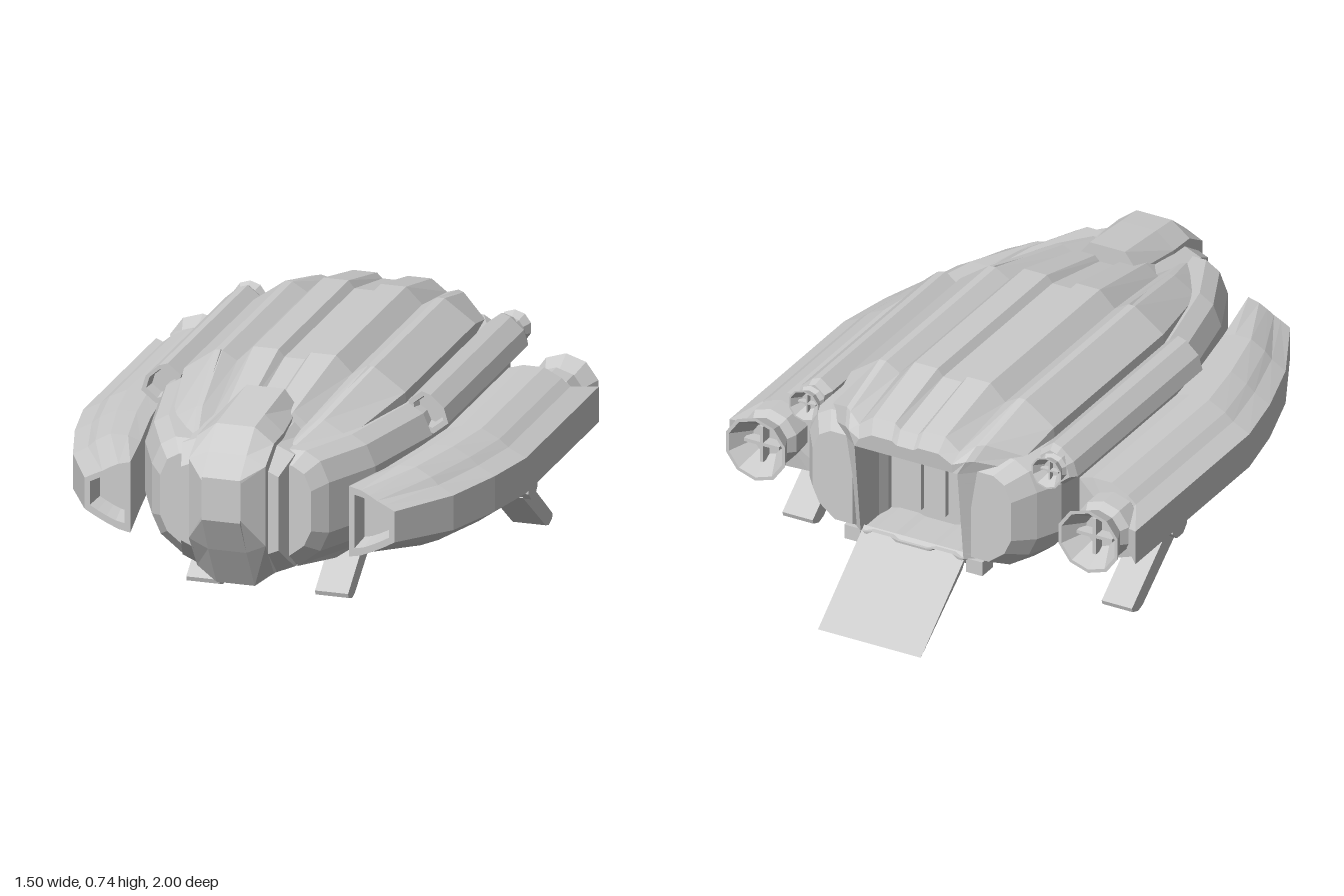
import * as THREE from 'three';

const grey = new THREE.MeshStandardMaterial({ color: 0xcccccc, flatShading: true });

// Skin over rings of [x, y, z], ordered from back to front, each counterclockwise seen from +z
function loft(rings) {
  const pos = [], n = rings[0].length;
  const tri = (a, b, c) => pos.push(...a, ...b, ...c);
  for (let i = 0; i < rings.length - 1; i++) {
    for (let j = 0; j < n; j++) {
      const k = (j + 1) % n, r = rings[i], s = rings[i + 1];
      tri(r[j], r[k], s[k]);
      tri(r[j], s[k], s[j]);
    }
  }
  const cap = (ring, front) => {
    const mid = [0, 1, 2].map(a => ring.reduce((t, p) => t + p[a], 0) / n);
    ring.forEach((p, j) => {
      const q = ring[(j + 1) % n];
      front ? tri(mid, p, q) : tri(mid, q, p);
    });
  };
  cap(rings[0], false);
  cap(rings[rings.length - 1], true);
  const g = new THREE.BufferGeometry();
  g.setAttribute('position', new THREE.Float32BufferAttribute(pos, 3));
  g.computeVertexNormals();
  return g;
}

// Mirrored copy across x = 0 with the winding put right
function mirrored(geo) {
  const g = geo.index ? geo.toNonIndexed() : geo.clone();
  g.scale(-1, 1, 1);
  const p = g.attributes.position;
  for (let i = 0; i < p.count; i += 3) {
    const b = [p.getX(i + 1), p.getY(i + 1), p.getZ(i + 1)];
    p.setXYZ(i + 1, p.getX(i + 2), p.getY(i + 2), p.getZ(i + 2));
    p.setXYZ(i + 2, ...b);
  }
  g.computeVertexNormals();
  return g;
}

// Side profile of [z, y] points extruded across x
function prism(points, width, x) {
  const shape = new THREE.Shape(points.map(p => new THREE.Vector2(...p)));
  const g = new THREE.ExtrudeGeometry(shape, { depth: width, bevelEnabled: false });
  g.rotateY(-Math.PI / 2);
  return g.translate(x + width / 2, 0, 0);
}

const box = (w, h, d, x, y, z) => new THREE.BoxGeometry(w, h, d).translate(x, y, z);
const at = (points, z) => points.map(([x, y]) => [x, y, z]);
const shrink = (ring, k, dz = 0) => {
  const c = [0, 1].map(a => ring.reduce((t, p) => t + p[a], 0) / ring.length);
  return ring.map(p => [c[0] + (p[0] - c[0]) * k, c[1] + (p[1] - c[1]) * k, p[2] + dz]);
};

export function createModel() {
  const model = new THREE.Group();
  const add = (name, geo) => {
    const m = new THREE.Mesh(geo, grey);
    m.name = name;
    model.add(m);
  };
  const pair = (name, geo) => {
    add('left' + name, geo);
    add('right' + name, mirrored(geo));
  };

  // Hull: ribbed half section from keel to spine
  const half = [
    [0.06, 0.175], [0.09, 0.2], [0.17, 0.2], [0.2, 0.175], [0.32, 0.175], [0.36, 0.215],
    [0.38, 0.27], [0.39, 0.33], [0.39, 0.49], [0.38, 0.55], [0.375, 0.635], [0.27, 0.71],
    [0.245, 0.71], [0.195, 0.68], [0.14, 0.735], [0.055, 0.735], [0.035, 0.71]
  ];
  const section = [...half, ...half.map(([x, y]) => [-x, y]).reverse()];
  const hullRing = (z, sx, top, lift = 0) => section.map(([x, y]) => [
    x * sx,
    y > 0.5 ? 0.5 + (y - 0.5) * (top - 0.5) / 0.235 : y + lift * (0.5 - y) / 0.325,
    z
  ]);
  // The stern rakes forward toward the sides and the keel
  const rake = (ring) => ring.map(([x, y, z]) =>
    [x, y, z + 0.8 * Math.max(0, Math.abs(x) - 0.2) + 0.12 * Math.max(0, 0.62 - y)]);
  const stern = rake(hullRing(-0.77, 0.88, 0.62, 0.04));
  const clamp = THREE.MathUtils.clamp;
  const doorway = stern.map(([x, y]) => {
    const v = clamp(y, 0.23, 0.56);
    return [clamp(x, -0.19, 0.19), v, -0.77 + 0.12 * (0.62 - v)];
  });
  const holdEnd = doorway.map(([x, y]) => [x, y, -0.54]);
  add('hull', loft([
    holdEnd, doorway, stern,
    rake(hullRing(-0.74, 0.95, 0.67, 0.02)),
    hullRing(-0.46, 1, 0.735),
    hullRing(0.25, 1, 0.735),
    hullRing(0.6, 0.8, 0.655),
    hullRing(0.8, 0.6, 0.6, 0.03)
  ]));

  // Side bodies: slab flanks that curve inward to a chamfered bow
  const flank = (outer, z, inner = 0.18) => at([
    [inner, 0.21], [outer - 0.1, 0.21], [outer - 0.03, 0.265], [outer, 0.33],
    [outer, 0.5], [outer - 0.03, 0.57], [outer - 0.08, 0.6], [inner, 0.6]
  ], z);
  pair('SideBody', loft([
    shrink(flank(0.38, -0.725, 0.2), 0.82), flank(0.42, -0.65, 0.2), flank(0.46, -0.56), flank(0.465, 0.25),
    flank(0.39, 0.6, 0.15), flank(0.3, 0.8, 0.1), shrink(flank(0.27, 0.85, 0.1), 0.8)
  ]));

  // Hold fittings
  for (const x of [-0.09, 0, 0.09]) add('holdPanel', box(0.06, 0.26, 0.02, x, 0.39, -0.55));

  // Cockpit and the cheek frame behind it: [z, flat half width, half width, bottom, top, corner height]
  const octagon = ([z, f, w, b, t, c]) => {
    const r = [[f, b], [w, b + c], [w, t - c], [f, t]];
    return at([...r, ...r.map(([x, y]) => [-x, y]).reverse()], z);
  };
  add('cockpit', loft([
    [0.545, 0.065, 0.11, 0.105, 0.71, 0.06], [0.75, 0.065, 0.13, 0.13, 0.69, 0.055],
    [0.85, 0.065, 0.13, 0.14, 0.68, 0.05], [0.935, 0.065, 0.13, 0.28, 0.61, 0.03],
    [1, 0.064, 0.066, 0.4, 0.545, 0.01]
  ].map(octagon)));
  add('cheekFrame', loft([
    [0.5, 0.13, 0.2, 0.17, 0.64, 0.06], [0.82, 0.12, 0.19, 0.18, 0.62, 0.03], [0.91, 0.12, 0.165, 0.27, 0.56, 0.02]
  ].map(octagon)));

  // Shoulder fins on the forward deck
  pair('DeckFin', loft([
    at([[0.21, 0.6], [0.3, 0.6], [0.29, 0.69], [0.25, 0.715]], 0.25),
    at([[0.16, 0.56], [0.25, 0.56], [0.23, 0.6], [0.19, 0.62]], 0.65)
  ]));

  // Nacelles curving inward to a recessed intake
  const nacelle = [
    [0.52, 0.24], [0.62, 0.235], [0.69, 0.26], [0.75, 0.3], [0.75, 0.42], [0.69, 0.45],
    [0.66, 0.475], [0.6, 0.505], [0.53, 0.505], [0.48, 0.49], [0.48, 0.26]
  ];
  const nacelleRing = (z, inner, sx, sy) =>
    nacelle.map(([x, y]) => [inner + (x - 0.48) * sx, 0.38 + (y - 0.38) * sy, z]);
  const tail = nacelleRing(-0.48, 0.48, 1, 1).map(([x, y, z]) => [x, y, x > 0.74 ? -0.59 : z]);
  const mouth = at([
    [0.41, 0.268], [0.45, 0.285], [0.49, 0.305], [0.525, 0.325], [0.525, 0.43], [0.49, 0.448],
    [0.465, 0.46], [0.44, 0.475], [0.41, 0.49], [0.37, 0.5], [0.37, 0.26]
  ], 0.81);
  pair('Nacelle', loft([
    tail, nacelleRing(0.15, 0.48, 1, 1), nacelleRing(0.35, 0.455, 0.95, 1),
    nacelleRing(0.57, 0.415, 0.85, 0.98), mouth, shrink(mouth, 0.76), shrink(mouth, 0.62, -0.07)
  ]));

  // Upper pods with recessed fronts
  const pod = [
    [0.4, 0.53], [0.47, 0.505], [0.52, 0.545], [0.505, 0.595], [0.46, 0.635], [0.43, 0.645], [0.385, 0.61]
  ];
  const podMouth = at(pod, 0.25);
  pair('UpperPod', loft([
    shrink(at(pod, -0.59), 0.8), at(pod, -0.56), podMouth, shrink(podMouth, 0.75), shrink(podMouth, 0.65, -0.04)
  ]));

  // Engine nozzles, with cross vanes inside the bell
  const nozzle = (name, x, y, z, s) => {
    const profile = [[0.075, 0], [0.1, 0.03], [0.1, 0.1], [0.082, 0.13], [0.115, 0.2], [0.103, 0.2], [0.055, 0.12], [0, 0.12]];
    const g = new THREE.LatheGeometry(profile.map(([r, d]) => new THREE.Vector2(r * s, d * s)), 10);
    pair(name, g.rotateX(-Math.PI / 2).translate(x, y, z));
    pair(name + 'Vane', box(0.13 * s, 0.012 * s, 0.04 * s, x, y, z - 0.14 * s));
    pair(name + 'Vane', box(0.012 * s, 0.13 * s, 0.04 * s, x, y, z - 0.14 * s));
  };
  nozzle('MainNozzle', 0.615, 0.38, -0.46, 1);
  nozzle('SmallNozzle', 0.448, 0.575, -0.54, 0.5);

  // Struts tying the nacelles to the hull
  for (const z of [-0.4, -0.2, 0, 0.2]) pair('NacelleStrut', box(0.14, 0.06, 0.05, 0.44, 0.29, z));

  // Landing legs with their mounts
  const leg = (name, x, z, dir, mountWidth) => {
    const pts = [[0.03, 0.215], [0.27, 0.03], [0.265, 0.015], [0.23, 0.003], [0.2, 0.012], [-0.03, 0.18]]
      .map(([d, y]) => [z + d * dir, y]);
    pair(name + 'Leg', prism(pts, 0.112, x));
    pair(name + 'LegMount', prism([[z - 0.045, 0.26], [z - 0.045, 0.2], [z - 0.02, 0.175],
      [z + 0.02, 0.175], [z + 0.045, 0.2], [z + 0.045, 0.26]], mountWidth, x));
  };
  leg('Front', 0.218, 0.26, 1, 0.14);
  leg('Rear', 0.59, -0.16, -1, 0.16);

  // Lowered boarding ramp
  add('ramp', prism([[-0.7, 0.24], [-1, 0], [-0.73, 0.195]], 0.38, 0));
  pair('RampHinge', box(0.06, 0.05, 0.07, 0.225, 0.205, -0.68));

  return model;
}
